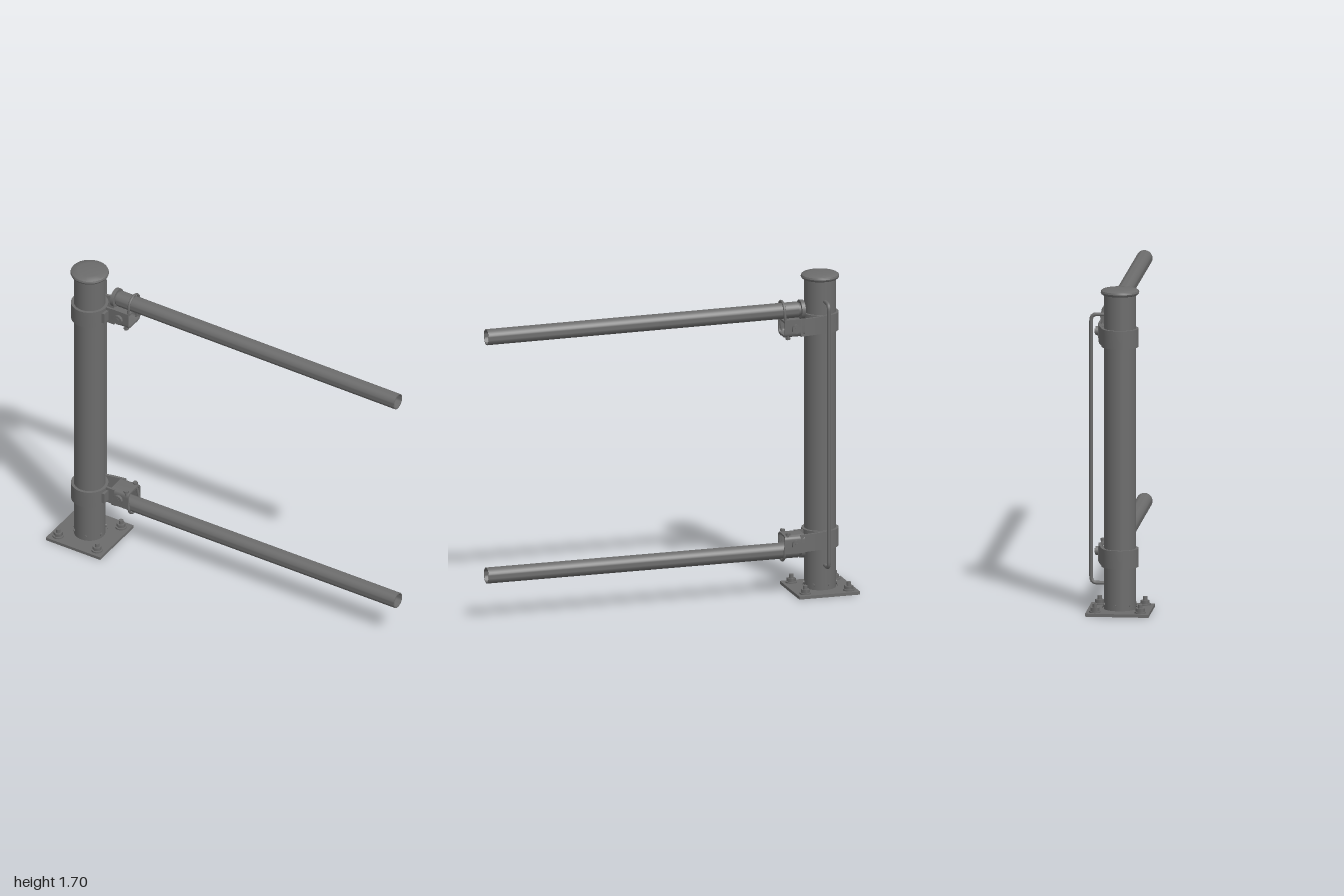
import * as THREE from 'three';
import { toCreasedNormals } from 'three/addons/utils/BufferGeometryUtils.js';

const steel = new THREE.MeshStandardMaterial({ color: 0x6c6c6c });
steel.name = 'grey steel';
const PX = -0.835; // post axis
const PIPE_Z = -0.065;

export function createModel() {
  const model = new THREE.Group();
  model.name = 'gatePostWithRails';

  const add = (parent, name, geo, x = 0, y = 0, z = 0) => {
    const m = new THREE.Mesh(geo, steel);
    m.name = name;
    m.position.set(x, y, z);
    parent.add(m);
    return m;
  };
  const box = (w, h, d) => new THREE.BoxGeometry(w, h, d);
  const cyl = (r, h, n = 24) => new THREE.CylinderGeometry(r, r, h, n);
  const lathe = (pts, n = 40) => toCreasedNormals(
    new THREE.LatheGeometry(pts.map(([r, y]) => new THREE.Vector2(r, y)), n), 0.6);
  const tube = (pts, r, seg = 60) => {
    const path = new THREE.CurvePath();
    const v = pts.map((p) => new THREE.Vector3(...p));
    const bend = 0.03;
    let from = v[0];
    for (let i = 1; i < v.length - 1; i++) {
      const a = v[i].clone().add(v[i - 1].clone().sub(v[i]).setLength(bend));
      const b = v[i].clone().add(v[i + 1].clone().sub(v[i]).setLength(bend));
      path.add(new THREE.LineCurve3(from, a));
      path.add(new THREE.QuadraticBezierCurve3(a, v[i], b));
      from = b;
    }
    path.add(new THREE.LineCurve3(from, v[v.length - 1]));
    return new THREE.TubeGeometry(path, seg, r, 10);
  };

  // Base plate with four anchor bolts
  const base = new THREE.Group();
  base.name = 'base';
  model.add(base);
  add(base, 'basePlate', box(0.33, 0.016, 0.33), PX, 0.008, 0);
  for (const sx of [-1, 1]) for (const sz of [-1, 1]) {
    const x = PX + sx * 0.118, z = sz * 0.118;
    add(base, 'washer', cyl(0.03, 0.008), x, 0.02, z);
    add(base, 'nut', cyl(0.024, 0.018, 6), x, 0.032, z);
    add(base, 'stud', cyl(0.012, 0.045, 16), x, 0.0385, z);
  }

  // Post, foot collar with small set screws, domed cap
  add(model, 'post', cyl(0.082, 1.66, 48), PX, 0.845, 0);
  add(model, 'footCollar', lathe([[0.082, 0.03], [0.09, 0.026], [0.094, 0.016]]), PX, 0, 0);
  for (let i = 0; i < 6; i++) {
    const a = (i / 6) * Math.PI * 2 + 0.3;
    const s = add(model, 'setScrew', cyl(0.008, 0.01, 10), PX + Math.sin(a) * 0.083, 0.042, Math.cos(a) * 0.083);
    s.rotation.set(Math.PI / 2, 0, -a, 'YXZ');
    s.rotation.set(Math.PI / 2, a, 0, 'YXZ');
  }
  add(model, 'cap', lathe([[0, 1.668], [0.09, 1.668], [0.097, 1.673], [0.1, 1.681],
    [0.097, 1.69], [0.09, 1.695], [0.06, 1.699], [0, 1.702]]), PX, 0, 0);

  // Back rod, bent into the post at both ends
  add(model, 'backRod', tube([[PX, 1.562, -0.07], [PX, 1.562, -0.15], [PX, 0.15, -0.15], [PX, 0.15, -0.07]], 0.01, 120));

  // Rail: hollow pipe with an end flange on a short neck
  const rail = (name, y0, y1, flangeR) => {
    const g = new THREE.Group();
    g.name = name;
    g.position.set(-0.69, y0, PIPE_Z);
    g.rotation.z = Math.atan2(y1 - y0, 1.69) - Math.PI / 2;
    model.add(g);
    add(g, 'pipe', lathe([[0, 0], [0.042, 0], [0.042, 1.69], [0.036, 1.69], [0.036, 0.004], [0, 0.004]], 32));
    add(g, 'neck', cyl(0.034, 0.02), 0, -0.008, 0);
    add(g, 'endFlange', cyl(flangeR, 0.02, 32), 0, -0.022, 0);
  };
  rail('upperRail', 1.528, 1.52, 0.05);
  rail('lowerRail', 0.243, 0.243, 0.045);

  // Clamp: ring, channel bracket, bolts and a U-bolt; s = 1 opens upward, -1 downward
  const clamp = (name, y, s, pipeY) => {
    const g = new THREE.Group();
    g.name = name;
    g.position.y = y;
    model.add(g);
    const h = 0.048;
    add(g, 'ring', lathe([[0.08, -h], [0.097, -h], [0.097, h], [0.08, h]], 48), PX, 0, 0);
    // Channel section, drawn across z and run along x
    const c = new THREE.Shape();
    const P = (z, yy) => [-z, s * yy];
    c.moveTo(...P(-0.006, h));
    c.lineTo(...P(-0.006, -0.02));
    c.quadraticCurveTo(...P(-0.006, -h), ...P(-0.035, -h));
    c.lineTo(...P(-0.098, -h));
    c.quadraticCurveTo(...P(-0.127, -h), ...P(-0.127, -0.02));
    c.lineTo(...P(-0.127, h));
    c.lineTo(...P(-0.117, h));
    c.lineTo(...P(-0.117, -0.02));
    c.quadraticCurveTo(...P(-0.117, -0.038), ...P(-0.098, -0.038));
    c.lineTo(...P(-0.035, -0.038));
    c.quadraticCurveTo(...P(-0.016, -0.038), ...P(-0.016, -0.02));
    c.lineTo(...P(-0.016, h));
    const channel = new THREE.ExtrudeGeometry(c, { depth: 0.108, bevelEnabled: false, curveSegments: 8 });
    channel.rotateY(Math.PI / 2);
    // extrude depth runs along +x, section x along -z
    add(g, 'channel', toCreasedNormals(channel, 0.6), -0.713, 0, 0);
    // Straps joining ring and channel, drawn in plan
    const strap = (label, pts) => {
      const sh = new THREE.Shape(pts.map(([x, z]) => new THREE.Vector2(x, -z)));
      const e = new THREE.ExtrudeGeometry(sh, { depth: 2 * h - 0.004, bevelEnabled: false });
      e.rotateX(-Math.PI / 2);
      add(g, label, e, 0, -h + 0.002, 0);
    };
    strap('frontStrap', [[-0.77, -0.018], [-0.77, -0.006], [-0.69, -0.006], [-0.69, -0.018]]);
    strap('backStrap', [[-0.84, -0.096], [-0.84, -0.084], [-0.77, -0.1], [-0.69, -0.116], [-0.69, -0.128], [-0.77, -0.115]]);
    // Ring lug and cross bolt
    add(g, 'lug', box(0.02, 0.06, 0.045), -0.735, 0, 0.01);
    const bolt = (label, r, len, z, n) => {
      add(g, label, cyl(r, len, n), -0.663, 0, z).rotation.x = Math.PI / 2;
    };
    bolt('crossBolt', 0.012, 0.16, -0.07, 16);
    bolt('boltHead', 0.026, 0.014, 0.001, 24);
    bolt('boltNut', 0.024, 0.018, -0.136, 6);
    // Saddle plate under the pipe
    const dy = pipeY - y;
    if (s > 0) add(g, 'saddle', box(0.1, 0.01, 0.1), -0.66, 0.03, PIPE_Z);
    // U-bolt around the pipe
    const pts = [];
    const end = -s * (h + 0.012);
    pts.push(new THREE.Vector3(-0.625, end, PIPE_Z + 0.05));
    for (let i = 0; i <= 10; i++) {
      const a = (i / 10) * Math.PI;
      pts.push(new THREE.Vector3(-0.606, dy + s * Math.sin(a) * 0.05, PIPE_Z + Math.cos(a) * 0.05));
    }
    pts.push(new THREE.Vector3(-0.625, end, PIPE_Z - 0.05));
    add(g, 'uBolt', new THREE.TubeGeometry(new THREE.CatmullRomCurve3(pts), 64, 0.007, 8));
    for (const sz of [-1, 1]) add(g, 'uBoltNut', cyl(0.013, 0.012, 6), -0.625, -s * (h + 0.005), PIPE_Z + sz * 0.045);
  };
  clamp('upperClamp', 1.443, 1, 1.528);
  clamp('lowerClamp', 0.287, -1, 0.243);

  return model;
}
